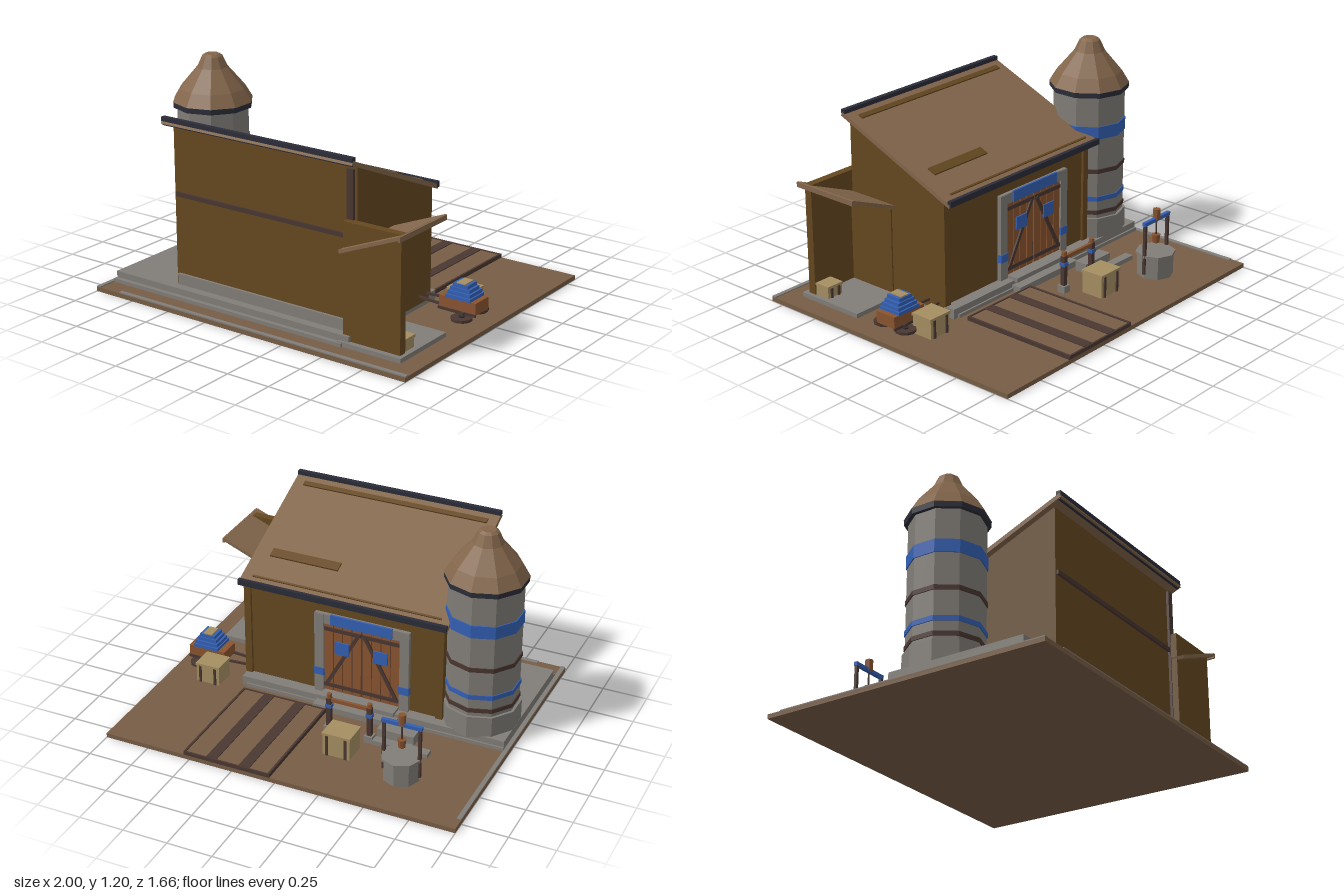
import * as THREE from 'three';

const mat = (name, color) => {
  const m = new THREE.MeshStandardMaterial({ color, flatShading: true });
  m.name = name;
  return m;
};

export function createModel() {
  const earth = mat('earth', 0x775d45), roofTan = mat('roofTan', 0x83664b), wood = mat('wallWood', 0x654820);
  const dark = mat('darkTimber', 0x4a3731), slate = mat('slate', 0x2b2d38), stone = mat('stone', 0x817d77);
  const blue = mat('bluePaint', 0x3460b4), crateTan = mat('crateTan', 0xa58f62), rust = mat('rustWood', 0x8a5430);

  const root = new THREE.Group();
  root.name = 'farmyard';
  let part = root;
  const group = (name) => { part = new THREE.Group(); part.name = name; root.add(part); };
  const add = (name, geo, m) => {
    const mesh = new THREE.Mesh(geo, m);
    mesh.name = name;
    part.add(mesh);
    return mesh;
  };
  // Box given by its extents
  const box = (name, m, x0, x1, y0, y1, z0, z1) => {
    const b = add(name, new THREE.BoxGeometry(x1 - x0, y1 - y0, z1 - z0), m);
    b.position.set((x0 + x1) / 2, (y0 + y1) / 2, (z0 + z1) / 2);
    return b;
  };
  const cyl = (name, m, x, z, r0, r1, y0, y1, n = 10) => {
    const c = add(name, new THREE.CylinderGeometry(r1, r0, y1 - y0, n), m);
    c.position.set(x, (y0 + y1) / 2, z);
    return c;
  };

  // Ground, curbs and stone plinth
  group('ground');
  box('yard', earth, -1, 1, 0, 0.025, -0.83, 0.83);
  box('frontCurb', stone, -0.84, 1, 0.02, 0.031, 0.805, 0.829);
  box('sideCurb', stone, -0.999, -0.975, 0.02, 0.031, -0.75, 0.829);
  box('plinthStep', stone, -0.975, 0.54, 0.02, 0.045, -0.1, 0.72);
  box('plinth', stone, -0.975, 0.57, 0.02, 0.08, -0.09, 0.695);
  box('leanToFloor', stone, 0.51, 0.89, 0.02, 0.05, 0.3, 0.71);

  // Cart track leading away from the barn
  group('track');
  box('trackBed', earth, 0.03, 0.53, 0.02, 0.042, -0.829, -0.15);
  for (const x of [0.18, 0.37]) box('rut', dark, x - 0.03, x + 0.03, 0.035, 0.047, -0.82, -0.155);
  for (const x of [0.035, 0.525]) box('trackEdge', dark, x - 0.006, x + 0.006, 0.025, 0.048, -0.83, -0.15);
  for (const z of [-0.826, -0.152]) box('trackEnd', dark, 0.03, 0.53, 0.025, 0.046, z - 0.005, z + 0.005);

  // Barn body extruded from its sloping side profile
  group('barn');
  const profile = new THREE.Shape([[-0.02, 0.05], [0.63, 0.05], [0.63, 0.957], [-0.02, 0.682]]
    .map(([z, y]) => new THREE.Vector2(z, y)));
  const body = add('walls', new THREE.ExtrudeGeometry(profile, { depth: 1.17, bevelEnabled: false }), wood);
  body.rotation.y = -Math.PI / 2;
  body.position.x = 0.575;
  box('frontFooting', stone, -0.58, 0.525, 0.08, 0.14, 0.62, 0.645);
  box('frontRail', dark, -0.585, 0.52, 0.573, 0.597, 0.62, 0.643);
  box('frontCornerPost', dark, 0.52, 0.56, 0.08, 0.935, 0.62, 0.645);
  for (const x of [-0.58, 0.555]) box('rearCornerPost', wood, x - 0.02, x + 0.02, 0.08, 0.67, -0.035, -0.01);

  // Pitched roof and the planks lying on it
  const pitch = Math.atan(0.423);
  const onRoof = (name, m, x0, x1, z0, z1, t, lift) => {
    const b = add(name, new THREE.BoxGeometry(x1 - x0, t, (z1 - z0) / Math.cos(pitch)), m);
    const z = (z0 + z1) / 2;
    b.position.set((x0 + x1) / 2, 0.957 + 0.423 * (z - 0.63) + lift, z);
    b.rotation.x = -pitch;
  };
  onRoof('roof', roofTan, -0.63, 0.583, -0.08, 0.685, 0.024, 0.002);
  onRoof('topPlank', wood, -0.575, 0.52, 0.595, 0.622, 0.012, 0.018);
  onRoof('lowPlank', wood, -0.58, 0.52, -0.035, -0.025, 0.01, 0.017);
  onRoof('roofPatch', wood, 0.08, 0.485, 0.11, 0.16, 0.014, 0.018);
  box('ridgeCap', slate, -0.63, 0.583, 0.985, 1.008, 0.66, 0.687);
  box('ridgeBase', slate, -0.625, 0.578, 0.962, 0.984, 0.663, 0.68);
  box('rearGutter', slate, -0.63, 0.583, 0.655, 0.688, -0.09, -0.068);

  // Double doors on the back wall in a stone frame
  group('doors');
  const cx = -0.13;
  for (const s of [-1, 1]) {
    const px = cx + s * 0.25;
    box('jamb', stone, px - 0.027, px + 0.027, 0.08, 0.565, -0.045, -0.015);
    box('jambBand', blue, px - 0.03, px + 0.03, 0.185, 0.23, -0.049, -0.015);
    for (let i = 0; i < 4; i++) {
      const x = cx + s * (0.03 + i * 0.055);
      box('doorPlank', rust, x - 0.025, x + 0.025, 0.09, 0.51, -0.036, -0.015);
    }
    const lx = cx + s * 0.113;
    for (const y of [0.13, 0.48]) box('doorRail', dark, lx - 0.108, lx + 0.108, y - 0.011, y + 0.011, -0.042, -0.03);
    const brace = add('doorBrace', new THREE.BoxGeometry(0.02, 0.39, 0.012), dark);
    brace.position.set(lx, 0.305, -0.039);
    brace.rotation.z = s * 0.5;
    box('doorPatch', blue, lx - 0.042, lx + 0.042, 0.34, 0.415, -0.05, -0.042);
  }
  box('doorBacking', dark, -0.36, 0.1, 0.08, 0.53, -0.028, -0.015);
  box('lintel', stone, -0.405, 0.145, 0.51, 0.568, -0.043, -0.015);
  box('lintelPanel', blue, -0.31, 0.05, 0.515, 0.575, -0.052, -0.04);
  box('threshold', stone, -0.35, 0.09, 0.07, 0.095, -0.11, -0.03);
  box('doorStep', stone, -0.37, 0.11, 0.02, 0.06, -0.15, -0.08);

  // Lean-to: screen wall and an outward-rising roof
  group('leanTo');
  box('screenWall', wood, 0.525, 0.868, 0.05, 0.676, 0.635, 0.68);
  box('innerWall', wood, 0.53, 0.583, 0.05, 0.53, 0.34, 0.64);
  const shed = add('shedRoof', new THREE.BoxGeometry(0.385, 0.018, 0.41), roofTan);
  shed.position.set(0.704, 0.6, 0.515);
  shed.rotation.z = 0.385;
  box('shedFascia', roofTan, 0.876, 0.888, 0.652, 0.68, 0.31, 0.72);

  // Silo with painted bands and a faceted cap
  group('silo');
  const sx = -0.77, sz = 0.1;
  cyl('siloBase', stone, sx, sz, 0.215, 0.215, 0.07, 0.195);
  cyl('siloBody', stone, sx, sz, 0.2, 0.2, 0.19, 0.925);
  for (const [m, y0, y1] of [[dark, 0.218, 0.242], [blue, 0.298, 0.325], [dark, 0.465, 0.49], [blue, 0.67, 0.742]])
    cyl('siloBand', m, sx, sz, 0.206, 0.206, y0, y1);
  cyl('siloRing', slate, sx, sz, 0.221, 0.221, 0.915, 0.945);
  const cap = [[0, 0.943], [0.224, 0.945], [0.182, 1.015], [0.085, 1.13], [0.057, 1.19], [0.04, 1.202], [0, 1.202]];
  const dome = add('siloCap', new THREE.LatheGeometry(cap.map(([r, y]) => new THREE.Vector2(r, y)), 10), roofTan);
  dome.position.set(sx, 0, sz);

  // Well with a winch frame and hanging bucket
  group('well');
  const wx = -0.58, wz = -0.53;
  cyl('wellRing', stone, wx, wz, 0.1, 0.1, 0.02, 0.146, 8);
  cyl('wellRim', stone, wx, wz, 0.11, 0.11, 0.145, 0.16, 8);
  for (const s of [-1, 1]) box('wellPost', dark, wx + s * 0.1 - 0.008, wx + s * 0.1 + 0.008, 0.05, 0.345, wz - 0.008, wz + 0.008);
  box('wellBeam', blue, wx - 0.112, wx + 0.112, 0.335, 0.356, wz - 0.01, wz + 0.01);
  cyl('pulley', rust, wx, wz, 0.021, 0.021, 0.345, 0.405, 8);
  cyl('rope', dark, wx, wz, 0.005, 0.005, 0.24, 0.345, 6);
  cyl('bucket', rust, wx, wz, 0.019, 0.024, 0.208, 0.256, 8);

  // Hitching rail and loose paving
  group('hitchingRail');
  for (const x of [-0.3, -0.065]) {
    box('railFoot', stone, x - 0.024, x + 0.024, 0.02, 0.065, -0.329, -0.281);
    box('railPost', dark, x - 0.013, x + 0.013, 0.06, 0.235, -0.318, -0.292);
    box('railBand', blue, x - 0.017, x + 0.017, 0.178, 0.198, -0.322, -0.288);
    cyl('railKnob', rust, x, -0.305, 0.016, 0.014, 0.235, 0.26, 8);
  }
  box('crossRail', rust, -0.3, -0.065, 0.215, 0.235, -0.313, -0.297);
  box('pavingStone', stone, -0.64, -0.31, 0.02, 0.05, -0.33, -0.28);
  box('pavingBlock', stone, -0.53, -0.32, 0.02, 0.08, -0.255, -0.18);

  // Crates with corner straps
  const crate = (x0, x1, y0, y1, z0, z1) => {
    group('crate');
    box('crateBox', crateTan, x0, x1, y0, y1, z0, z1);
    box('crateLid', crateTan, x0 - 0.004, x1 + 0.004, y1 - 0.012, y1 + 0.003, z0 - 0.004, z1 + 0.004);
    for (const x of [x0 + 0.025, x1 - 0.025])
      for (const z of [z0, z1]) box('crateStrap', dark, x - 0.007, x + 0.007, y0, y1 - 0.01, z - 0.007, z + 0.007);
  };
  crate(-0.28, -0.125, 0.02, 0.155, -0.515, -0.385);
  crate(0.68, 0.82, 0.02, 0.137, -0.16, -0.035);
  crate(0.76, 0.86, 0.045, 0.115, 0.545, 0.635);

  // Handcart with stacked sacks and flat-lying wheels
  group('cart');
  box('cartBed', rust, 0.72, 0.94, 0.085, 0.15, -0.02, 0.105);
  for (const z of [-0.02, 0.105]) box('cartSide', dark, 0.715, 0.942, 0.075, 0.09, z - 0.005, z + 0.005);
  const loads = [[0.075, 0.068], [0.068, 0.06], [0.058, 0.05], [0.045, 0.045]];
  loads.forEach(([hx, hz], i) => box('load', blue, 0.835 - hx, 0.835 + hx, 0.148 + i * 0.02, 0.167 + i * 0.02, 0.043 - hz, 0.043 + hz));
  box('loadTop', crateTan, 0.808, 0.862, 0.22, 0.232, 0.003, 0.083);
  for (const z of [-0.028, 0.122]) {
    cyl('wheel', dark, 0.868, z, 0.057, 0.057, 0.053, 0.068, 10);
    cyl('wheelHub', slate, 0.868, z, 0.016, 0.016, 0.048, 0.075, 8);
  }
  box('axle', dark, 0.858, 0.878, 0.055, 0.09, -0.03, 0.125);
  for (const s of [-1, 1]) {
    const shaft = add('shaft', new THREE.BoxGeometry(0.15, 0.012, 0.012), dark);
    shaft.position.set(0.655, 0.095, 0.043 + s * 0.04);
    shaft.rotation.y = -s * 0.08;
  }
  return root;
}
